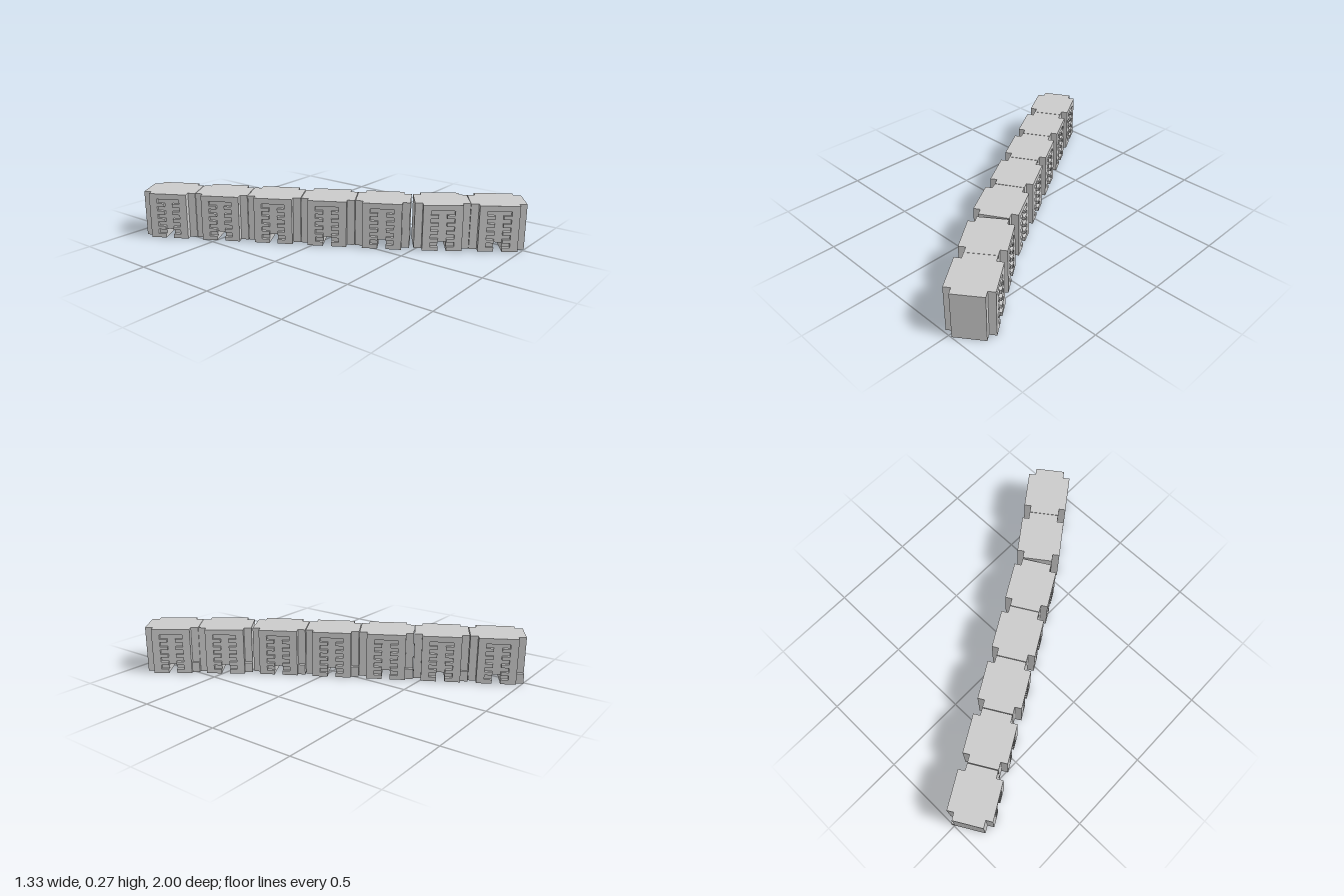
import * as THREE from 'three';

const H = 0.272;         // block height
const WIDE = 0.255;      // width over the cheeks
const BODY = 0.226;      // length of the wide body
const NARROW = 0.175;    // width of the end keys
const KEY = 0.044;       // length of each end key
const DEPTH = 0.02;      // relief depth of the side pattern
const SPINE = 0.024;     // half width of the spine channel
const BAR = 0.068;       // half width of the cross channels

const material = new THREE.MeshStandardMaterial({ color: 0xcccccc, flatShading: true });

function addMesh(group, name, geometry, x = 0, y = 0, z = 0) {
  const mesh = new THREE.Mesh(geometry, material);
  mesh.name = name;
  mesh.position.set(x, y, z);
  group.add(mesh);
}

// Side outline (length across, height up) with a channel open at the bottom
function slottedShape(channel) {
  const h = BODY / 2;
  const pts = [[-h, 0], ...channel.map(([x, y]) => [-x, y]),
    ...channel.slice().reverse(), [h, 0], [h, H], [-h, H]];
  return new THREE.Shape(pts.map(([x, y]) => new THREE.Vector2(x, y)));
}

// Extrude a side outline across the block, centred on its thickness
function acrossBlock(shape, thickness) {
  const geometry = new THREE.ExtrudeGeometry(shape, { depth: thickness, bevelEnabled: false });
  return geometry.translate(0, 0, -thickness / 2).rotateY(Math.PI / 2);
}

// Half outline of the comb relief: a spine with five cross channels
function combChannel() {
  const pts = [[SPINE, 0]];
  for (let i = 0; i < 5; i++) {
    const y = 0.024 + i * 0.047;
    pts.push([SPINE, y], [BAR, y], [BAR, y + 0.027], [SPINE, y + 0.027]);
  }
  return pts;
}

const coreWidth = WIDE - 2 * DEPTH;
const coreGeometry = acrossBlock(slottedShape([[SPINE, 0], [SPINE, 0.05]]), coreWidth);
const cheekGeometry = acrossBlock(slottedShape(combChannel()), DEPTH);
const keyGeometry = new THREE.BoxGeometry(NARROW, H, KEY);
const tabGeometry = new THREE.BoxGeometry(0.02, 0.06, KEY);

function createBlock() {
  const block = new THREE.Group();
  block.name = 'block';
  addMesh(block, 'core', coreGeometry);
  for (const s of [-1, 1]) {
    addMesh(block, 'combPanel', cheekGeometry, s * (WIDE - DEPTH) / 2);
    addMesh(block, 'endKey', keyGeometry, 0, H / 2, s * (BODY + KEY) / 2);
  }
  // Low tab in one rear notch
  addMesh(block, 'cornerTab', tabGeometry, NARROW / 2 + 0.01, 0.03, -(BODY + KEY) / 2);
  return block;
}

export function createModel() {
  const model = new THREE.Group();
  model.name = 'barrierChain';
  // Five blocks in a straight run, then two turned slightly
  const place = (x, z, degrees) => {
    const block = createBlock();
    block.position.set(x, 0, z);
    block.rotation.y = THREE.MathUtils.degToRad(degrees);
    model.add(block);
  };
  for (let i = 0; i < 5; i++) place(-0.5 + i * 0.158, -0.814 + i * 0.275, 30);
  for (let i = 0; i < 2; i++) place(0.312 + i * 0.185, 0.563 + i * 0.256, 36);
  return model;
}
